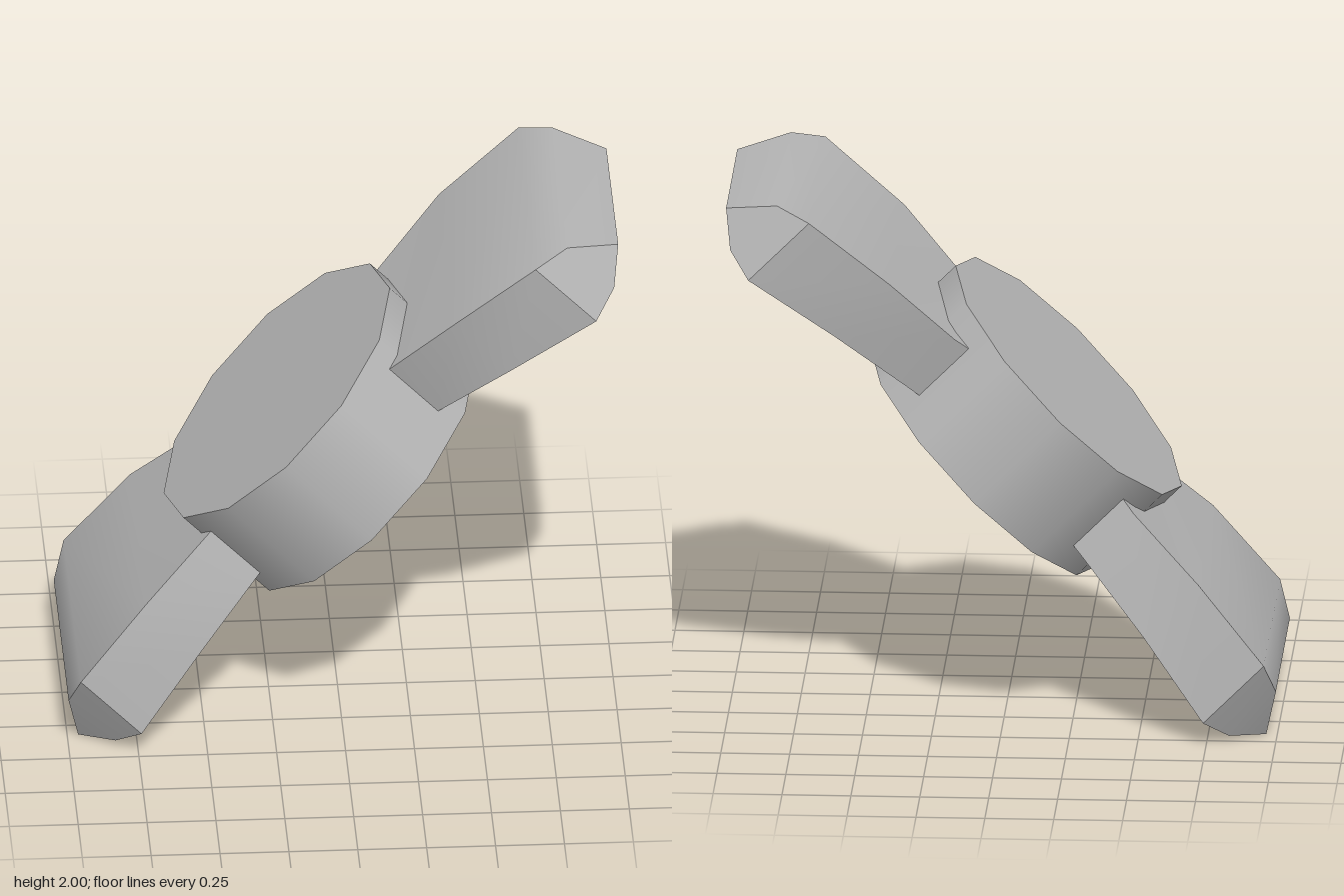
import * as THREE from 'three';
import { toCreasedNormals } from 'three/addons/utils/BufferGeometryUtils.js';

// Stations from the open inner end to the tip:
// [topX, topY, bottomX, bottomY, backZ, frontZ]
const STATIONS = [
  [0.12, 1.44, 0.30, 1.26, -0.40, 0.31],
  [0.17, 1.48, 0.345, 1.30, -0.42, 0.335],
  [0.40, 1.72, 0.60, 1.52, -0.535, 0.45],
  [0.69, 1.96, 0.91, 1.74, -0.58, 0.495],
  [0.81, 2.00, 0.98, 1.83, -0.50, 0.41],
  [1.00, 1.96, 1.00, 1.96, -0.405, 0.32],
];

// Hollow bent blade skinned over four-cornered stations; the lower one is reflected
function bladeGeometry(mirrored) {
  const place = (x, y, z) => (mirrored ? [1 - y, 1 - x, z] : [x, y, z]);
  const rings = STATIONS.map(([tx, ty, bx, by, zb, zf]) => [
    place(tx, ty, zf), place(tx, ty, zb), place(bx, by, zb), place(bx, by, zf),
  ]);
  const positions = [];
  const triangle = (a, b, c) => {
    // The tip closes to an edge, so skip collapsed triangles
    const same = (p, q) => p.every((v, i) => v === q[i]);
    if (same(a, b) || same(b, c) || same(a, c)) return;
    positions.push(...a, ...(mirrored ? [...c, ...b] : [...b, ...c]));
  };
  for (let i = 0; i < rings.length - 1; i++) {
    for (let j = 0; j < 4; j++) {
      const k = (j + 1) % 4;
      const [a, b, c, d] = [rings[i][j], rings[i + 1][j], rings[i + 1][k], rings[i][k]];
      triangle(a, b, c);
      triangle(a, c, d);
    }
  }
  const geometry = new THREE.BufferGeometry();
  geometry.setAttribute('position', new THREE.Float32BufferAttribute(positions, 3));
  return toCreasedNormals(geometry, 0.62);
}

export function createModel() {
  const grey = new THREE.MeshStandardMaterial({ color: 0xb4b4b4, side: THREE.DoubleSide });
  grey.name = 'grey';
  const model = new THREE.Group();
  const add = (parent, geometry, name) => {
    const mesh = new THREE.Mesh(geometry, grey);
    mesh.name = name;
    parent.add(mesh);
    return mesh;
  };

  // Tilted twelve-sided cup, open underneath
  const radius = 0.58, height = 0.44;
  const cup = new THREE.Group();
  cup.name = 'cup';
  cup.position.set(-0.065, 1.065, 0);
  cup.rotation.z = Math.PI / 4;
  add(cup, new THREE.CylinderGeometry(radius, radius, height, 12, 1, true), 'cupWall');
  const lid = add(cup, new THREE.CircleGeometry(radius, 12), 'cupLid');
  lid.rotation.x = -Math.PI / 2;
  lid.position.y = height / 2;
  model.add(cup);

  // Opposed blades running through the cup wall
  add(model, bladeGeometry(false), 'upperBlade');
  add(model, bladeGeometry(true), 'lowerBlade');
  return model;
}
